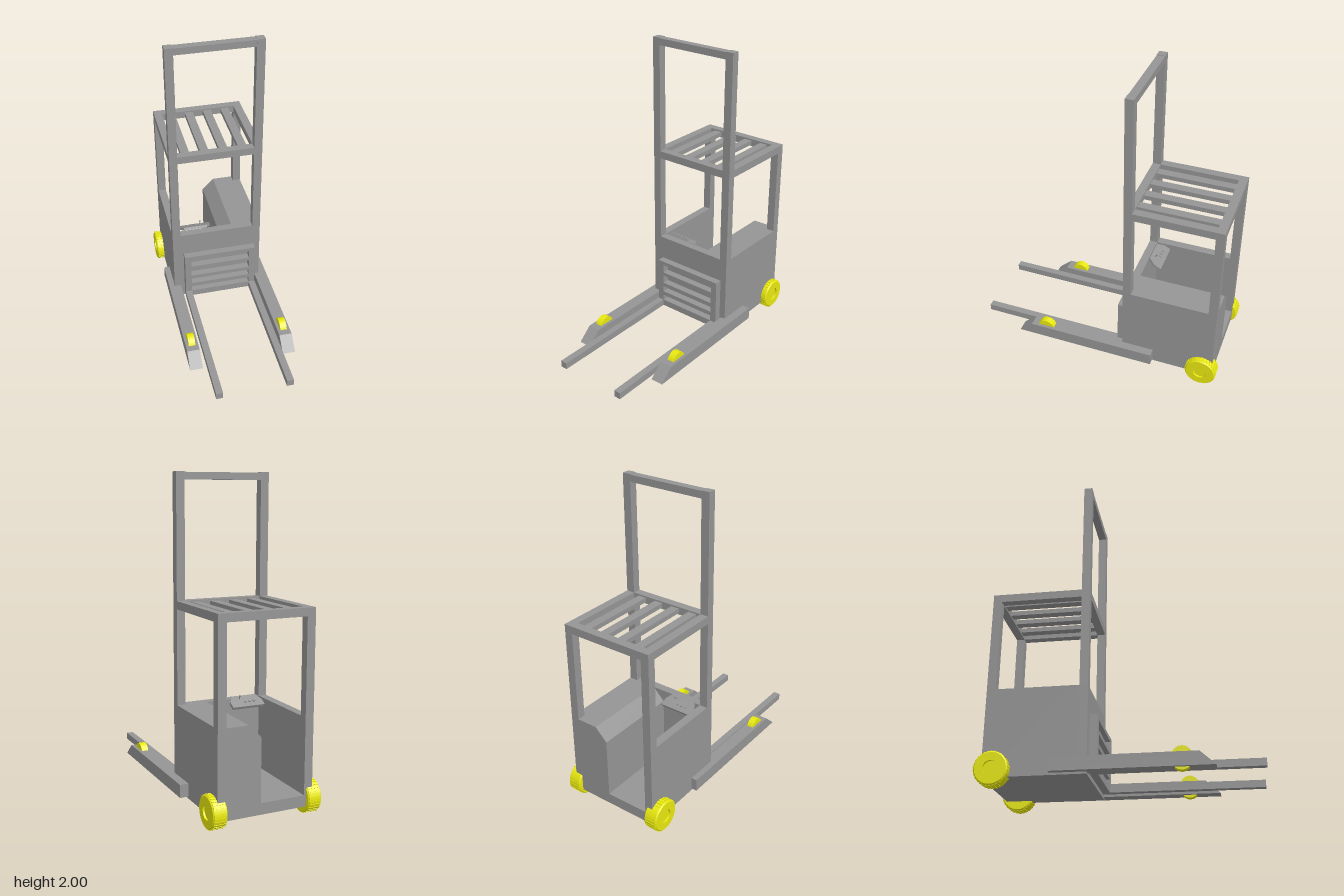
import * as THREE from 'three';

const grey = new THREE.MeshStandardMaterial({ color: 0x959595 });
const yellow = new THREE.MeshStandardMaterial({ color: 0xe8e810 });

export function createModel() {
  const model = new THREE.Group();

  const add = (name, geometry, material = grey, parent = model) => {
    const mesh = new THREE.Mesh(geometry, material);
    mesh.name = name;
    parent.add(mesh);
    return mesh;
  };
  // Box given by its limits on each axis
  const box = (name, [x0, x1], [y0, y1], [z0, z1]) => {
    const mesh = add(name, new THREE.BoxGeometry(x1 - x0, y1 - y0, z1 - z0));
    mesh.position.set((x0 + x1) / 2, (y0 + y1) / 2, (z0 + z1) / 2);
    return mesh;
  };
  const shapeOf = (points) => new THREE.Shape(points.map(([x, y]) => new THREE.Vector2(x, y)));
  const extrude = (shape, depth) => new THREE.ExtrudeGeometry(shape, { depth, bevelEnabled: false });

  // Body: operator well between a side wall and a chamfered battery block
  const section = shapeOf([
    [-0.312, 0.06], [0.304, 0.06], [0.304, 0.6], [0.11, 0.6], [0.03, 0.52],
    [0.03, 0.13], [-0.258, 0.13], [-0.258, 0.6], [-0.312, 0.6],
  ]);
  add('operatorBody', extrude(section, 0.564)).position.z = -0.794;
  box('frontWall', [-0.312, 0.304], [0.06, 0.6], [-0.23, -0.177]);

  // Control panel: plate sloping down into the well, with buttons and a lever
  const panel = new THREE.Group();
  panel.name = 'controlPanel';
  panel.position.set(-0.14, 0.602, -0.23);
  panel.rotation.x = -0.5;
  const plate = shapeOf([[-0.08, 0], [0.08, 0], [0.11, 0.05], [0.11, 0.1], [-0.11, 0.1], [-0.11, 0.05]]);
  add('panelPlate', extrude(plate, 0.018).rotateX(-Math.PI / 2), grey, panel);
  for (const x of [-0.05, -0.02, 0.01]) {
    const button = add('button', new THREE.CylinderGeometry(0.008, 0.008, 0.01, 12), grey, panel);
    button.position.set(x, 0.02, -0.06);
  }
  const lever = add('lever', new THREE.CylinderGeometry(0.003, 0.003, 0.03, 8), grey, panel);
  lever.position.set(0.04, 0.03, -0.03);
  const knob = add('leverKnob', new THREE.SphereGeometry(0.006, 12, 8), grey, panel);
  knob.position.set(0.04, 0.045, -0.03);
  model.add(panel);

  // Mast, overhead guard posts and rails
  for (const span of [[-0.312, -0.258], [0.25, 0.304]]) {
    box('mastPost', span, [0.6, 2], [-0.23, -0.177]);
    box('rearPost', span, [0.6, 1.24], [-0.794, -0.74]);
    box('guardSideRail', span, [1.19, 1.24], [-0.74, -0.23]);
  }
  const between = [-0.258, 0.25];
  box('mastTopBar', between, [1.953, 1.997], [-0.229, -0.178]);
  box('guardFrontRail', between, [1.19, 1.24], [-0.23, -0.177]);
  box('guardRearRail', between, [1.19, 1.24], [-0.794, -0.74]);
  for (let i = 0; i < 4; i++) {
    const x = -0.197 + i * 0.127;
    box('guardSlat', [x - 0.028, x + 0.028], [1.2, 1.23], [-0.74, -0.23]);
  }

  // Fork carriage with four slots
  const carriage = shapeOf([[-0.24, 0.085], [0.261, 0.085], [0.261, 0.44], [-0.24, 0.44]]);
  for (const [y0, y1] of [[0.13, 0.17], [0.2, 0.242], [0.27, 0.328], [0.354, 0.414]]) {
    carriage.holes.push(shapeOf([[-0.197, y0], [-0.197, y1], [0.218, y1], [0.218, y0]]));
  }
  add('forkCarriage', extrude(carriage, 0.05)).position.z = -0.179;

  // Wheel profile: bevelled tyre with a recessed hub
  const tyreProfile = [
    [0, -0.033], [0.044, -0.033], [0.044, -0.045], [0.093, -0.045], [0.1, -0.038],
    [0.1, 0.038], [0.093, 0.045], [0.044, 0.045], [0.044, 0.033], [0, 0.033],
  ].map(([r, h]) => new THREE.Vector2(r, h));
  // Duplicated corner points keep the tyre edges sharp
  const tyre = new THREE.LatheGeometry(tyreProfile.flatMap((p) => [p, p.clone()]), 48);
  tyre.rotateZ(Math.PI / 2);

  // Forks, outriggers, rollers and drive wheels on each side
  const arm = shapeOf([[-0.392, 0.073], [0.553, 0.073], [0.462, 0.155], [-0.392, 0.155]]);
  const armGeometry = extrude(arm, 0.084).rotateY(-Math.PI / 2);
  for (const s of [-1, 1]) {
    const forkX = 0.01 + s * 0.23;
    box('fork', [forkX - 0.0225, forkX + 0.0225], [0.085, 0.13], [-0.13, 0.83]);

    const armX = 0.004 + s * 0.313;
    add('outrigger', armGeometry).position.x = armX + 0.042;

    const roller = add('loadRoller', new THREE.CylinderGeometry(0.07, 0.07, 0.045, 32).rotateZ(Math.PI / 2), yellow);
    roller.position.set(armX, 0.125, 0.363);
    roller.scale.z = 0.89;

    const wheel = new THREE.Group();
    wheel.name = 'driveWheel';
    wheel.position.set(-0.009 + s * 0.307, 0.103, -0.725);
    add('tyre', tyre, yellow, wheel);
    const treads = 30;
    for (let i = 0; i < treads; i++) {
      const angle = (i / treads) * Math.PI * 2;
      const tread = add('tread', new THREE.BoxGeometry(0.076, 0.01, 0.011), yellow, wheel);
      tread.position.set(0, Math.cos(angle) * 0.098, Math.sin(angle) * 0.098);
      tread.rotation.x = angle;
    }
    model.add(wheel);
  }

  return model;
}
